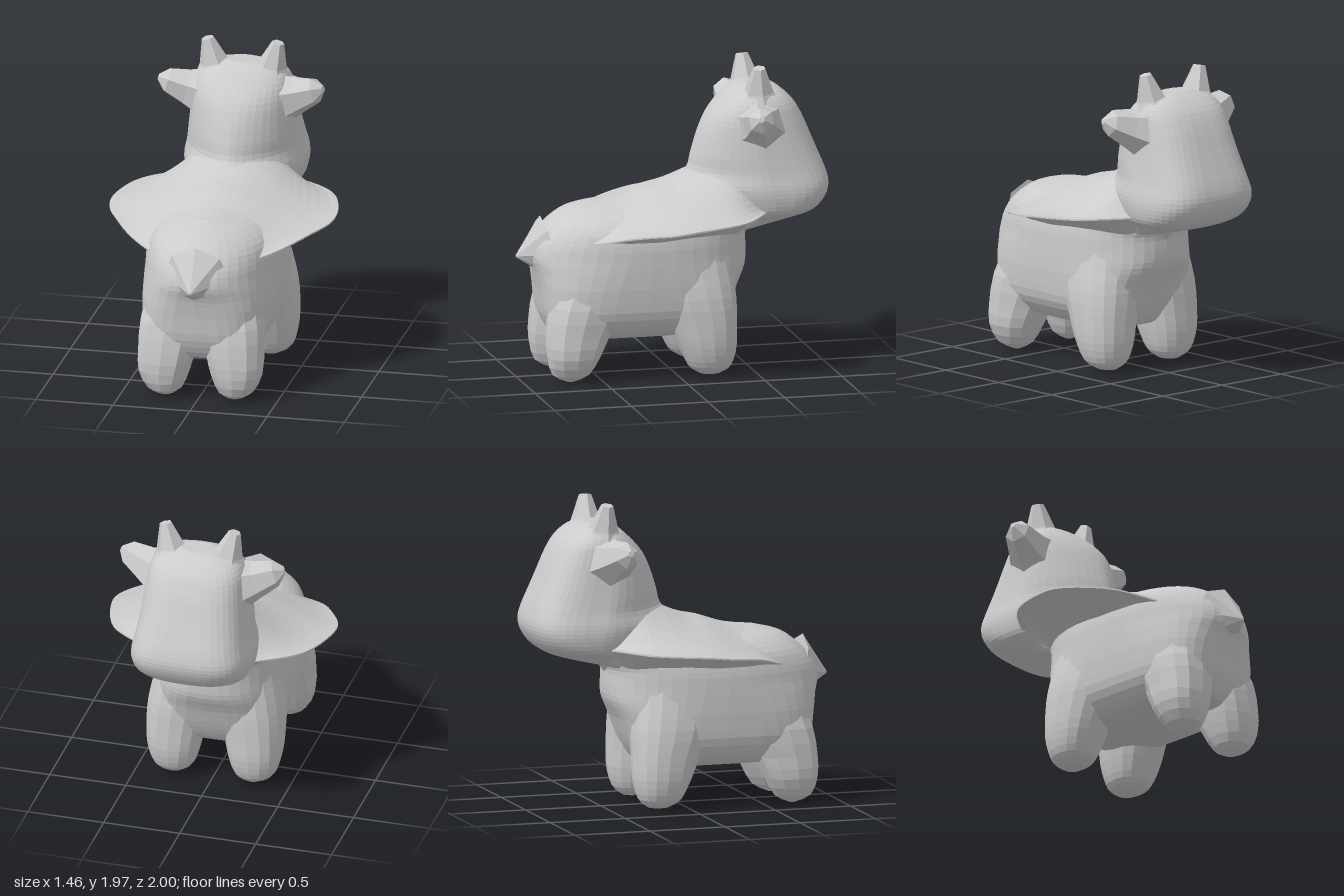
import * as THREE from 'three';

const material = new THREE.MeshStandardMaterial({ color: 0xcccccc, flatShading: true });

// Smoothly resample rows of numbers into n + 1 rows.
function resample(rows, n) {
  const size = rows[0].length;
  const curve = new THREE.CubicInterpolant(rows.map((_, i) => i), rows.flat(), size, new Float32Array(size));
  return Array.from({ length: n + 1 }, (_, i) => Array.from(curve.evaluate((i / n) * (rows.length - 1))));
}

// Skin closed rings of points and cap both ends.
function loft(rings) {
  const n = rings[0].length, pos = [], index = [];
  rings.forEach(r => r.forEach(p => pos.push(...p)));
  for (let i = 0; i < rings.length - 1; i++) {
    for (let j = 0; j < n; j++) {
      const k = (j + 1) % n;
      const a = i * n + j, b = i * n + k, c = b + n, d = a + n;
      index.push(a, d, c, a, c, b);
    }
  }
  [0, rings.length - 1].forEach((r, end) => {
    const centre = pos.length / 3;
    pos.push(...[0, 1, 2].map(q => rings[r].reduce((s, p) => s + p[q], 0) / n));
    for (let j = 0; j < n; j++) {
      const a = r * n + j, b = r * n + (j + 1) % n;
      index.push(centre, ...(end ? [b, a] : [a, b]));
    }
  });
  const g = new THREE.BufferGeometry();
  g.setAttribute('position', new THREE.Float32BufferAttribute(pos, 3));
  g.setIndex(index);
  g.computeVertexNormals();
  return g;
}

// Horizontal section: [y, centre x, half width, max z, widest z, min z, roundness at +z, roundness at -z]
function section([y, cx, hx, zMax, zMid, zMin, eMax, eMin], sides) {
  return Array.from({ length: sides }, (_, j) => {
    const t = (j / sides) * Math.PI * 2, c = Math.cos(t), s = Math.sin(t);
    const e = 2 / (s > 0 ? eMax : eMin);
    const x = Math.sign(c) * Math.abs(c) ** e, z = Math.abs(s) ** e;
    return [cx + hx * x, y, zMid + z * ((s > 0 ? zMax : zMin) - zMid)];
  });
}

const upright = (rows, steps, sides) => loft(resample(rows, steps).map(r => section(r, sides)));

function add(group, name, geometry) {
  const mesh = new THREE.Mesh(geometry, material);
  mesh.name = name;
  group.add(mesh);
}

// Faceted stub through a few [x, y, z, radius] stations, flaring where it leaves the head or body.
function stub(group, name, stations, sides) {
  const at = i => new THREE.Vector3(...stations[i].slice(0, 3));
  const turn = new THREE.Quaternion().setFromUnitVectors(
    new THREE.Vector3(0, 1, 0), at(stations.length - 1).sub(at(0)).normalize());
  add(group, name, loft(stations.map((st, i) => Array.from({ length: sides }, (_, j) => {
    const t = (j / sides) * Math.PI * 2;
    const p = new THREE.Vector3(Math.cos(t), 0, Math.sin(t)).multiplyScalar(st[3]);
    return p.applyQuaternion(turn).add(at(i)).toArray();
  }))));
}

export function createModel() {
  const model = new THREE.Group();

  // Torso
  add(model, 'torso', upright([
    [0.27, 0, 0.2, 0.7, 0.22, -0.18, 3, 3],
    [0.3, 0, 0.3, 0.78, 0.22, -0.27, 3.4, 3.2],
    [0.42, 0, 0.395, 0.84, 0.22, -0.345, 3.8, 3.6],
    [0.58, 0, 0.42, 0.865, 0.22, -0.41, 3.4, 3.2],
    [0.7, 0, 0.425, 0.89, 0.22, -0.47, 2.8, 2.7],
    [0.8, 0, 0.425, 0.92, 0.22, -0.48, 2.3, 2.5],
    [0.9, 0, 0.42, 0.89, 0.22, -0.48, 2.2, 2.5],
    [1.0, 0, 0.39, 0.8, 0.22, -0.53, 2.2, 2.4],
    [1.08, 0, 0.29, 0.69, 0.22, -0.5, 2.1, 2.3],
    [1.125, 0, 0.12, 0.53, 0.22, -0.3, 2, 2],
  ], 27, 40));

  // Flared saddle skirt: [z, half width, crest height, rim height]
  const skirt = resample([
    [-0.58, 0.3, 1.25, 1.07],
    [-0.46, 0.5, 1.38, 1.07],
    [-0.35, 0.62, 1.4, 1.065],
    [-0.2, 0.69, 1.33, 1.06],
    [0, 0.73, 1.24, 1.05],
    [0.15, 0.71, 1.205, 1.03],
    [0.3, 0.63, 1.155, 1.01],
    [0.42, 0.55, 1.135, 0.985],
    [0.52, 0.45, 1.12, 0.95],
    [0.6, 0.34, 1.08, 0.92],
    [0.68, 0.2, 1.0, 0.9],
  ], 30).map(([z, w, crest, rim]) => {
    const ring = [], n = 24, dip = 0.3 * Math.min(1, w / 0.6) ** 2;
    for (let i = 0; i <= n; i++) {
      const u = (i / n) * 2 - 1;
      ring.push([u * w, rim + (crest - rim) * Math.cos(u * Math.PI / 2) ** 2, z]);
    }
    for (let i = n; i >= 0; i--) {
      const u = (i / n) * 2 - 1;
      ring.push([u * w, rim - 0.01 - dip * (1 - Math.abs(u)) ** 1.3, z]);
    }
    return ring;
  });
  add(model, 'saddleSkirt', loft(skirt));

  // Neck and head, wedge-shaped towards +z with a blunt muzzle at -z
  add(model, 'head', upright([
    [0.92, 0, 0.2, -0.3, -0.42, -0.49, 2, 2.2],
    [0.995, 0, 0.28, -0.3, -0.55, -0.8, 2, 2.4],
    [1.05, 0, 0.36, -0.15, -0.6, -0.92, 1.7, 2.9],
    [1.13, 0, 0.385, -0.03, -0.6, -0.98, 1.6, 3.4],
    [1.21, 0, 0.385, -0.02, -0.58, -1.0, 1.6, 3.6],
    [1.3, 0, 0.365, -0.11, -0.56, -0.98, 1.6, 3.6],
    [1.4, 0, 0.35, -0.14, -0.54, -0.94, 1.7, 3.4],
    [1.52, 0, 0.335, -0.18, -0.53, -0.89, 1.8, 3.2],
    [1.64, 0, 0.32, -0.24, -0.53, -0.84, 2, 3],
    [1.74, 0, 0.3, -0.33, -0.54, -0.78, 2.2, 2.8],
    [1.81, 0, 0.24, -0.41, -0.54, -0.7, 2.2, 2.6],
    [1.845, 0, 0.12, -0.48, -0.55, -0.63, 2, 2],
  ], 33, 40));

  // Tail nub
  stub(model, 'tail', [[0, 0.83, 0.8, 0.22], [0, 0.815, 0.89, 0.12], [0, 0.79, 1.0, 0.008]], 8);

  for (const s of [1, -1]) {
    const side = s > 0 ? 'Left' : 'Right';

    // Legs under the tail end, with pointed hooves
    add(model, 'rearLeg' + side, upright([
      [0.01, s * 0.22, 0.02, 0.72, 0.7, 0.68, 2, 2],
      [0.06, s * 0.23, 0.11, 0.82, 0.7, 0.58, 2, 2],
      [0.18, s * 0.235, 0.165, 0.855, 0.69, 0.51, 2.4, 2.3],
      [0.32, s * 0.22, 0.185, 0.855, 0.67, 0.44, 2.6, 2.3],
      [0.5, s * 0.2, 0.2, 0.83, 0.62, 0.34, 2.6, 2.3],
      [0.7, s * 0.17, 0.18, 0.76, 0.55, 0.32, 2.3, 2.3],
    ], 10, 12));

    // Legs under the head end, rounder at the foot
    add(model, 'frontLeg' + side, upright([
      [0.03, s * 0.26, 0.06, -0.13, -0.2, -0.27, 2, 2],
      [0.08, s * 0.265, 0.13, -0.06, -0.2, -0.33, 2.2, 2.2],
      [0.2, s * 0.265, 0.17, 0.0, -0.19, -0.365, 2.3, 2.3],
      [0.36, s * 0.255, 0.19, 0.07, -0.18, -0.37, 2.3, 2.3],
      [0.55, s * 0.23, 0.205, 0.15, -0.14, -0.37, 2.3, 2.3],
      [0.8, s * 0.19, 0.19, 0.17, -0.1, -0.34, 2.3, 2.3],
    ], 14, 16));

    // Horns and ears
    stub(model, 'horn' + side, [
      [s * 0.165, 1.7, -0.55, 0.17], [s * 0.19, 1.82, -0.54, 0.095], [s * 0.228, 1.975, -0.53, 0.04],
    ], 6);
    stub(model, 'ear' + side, [
      [s * 0.2, 1.6, -0.54, 0.2], [s * 0.36, 1.645, -0.51, 0.125],
      [s * 0.48, 1.69, -0.48, 0.085], [s * 0.535, 1.71, -0.47, 0.02],
    ], 6);
  }
  return model;
}
